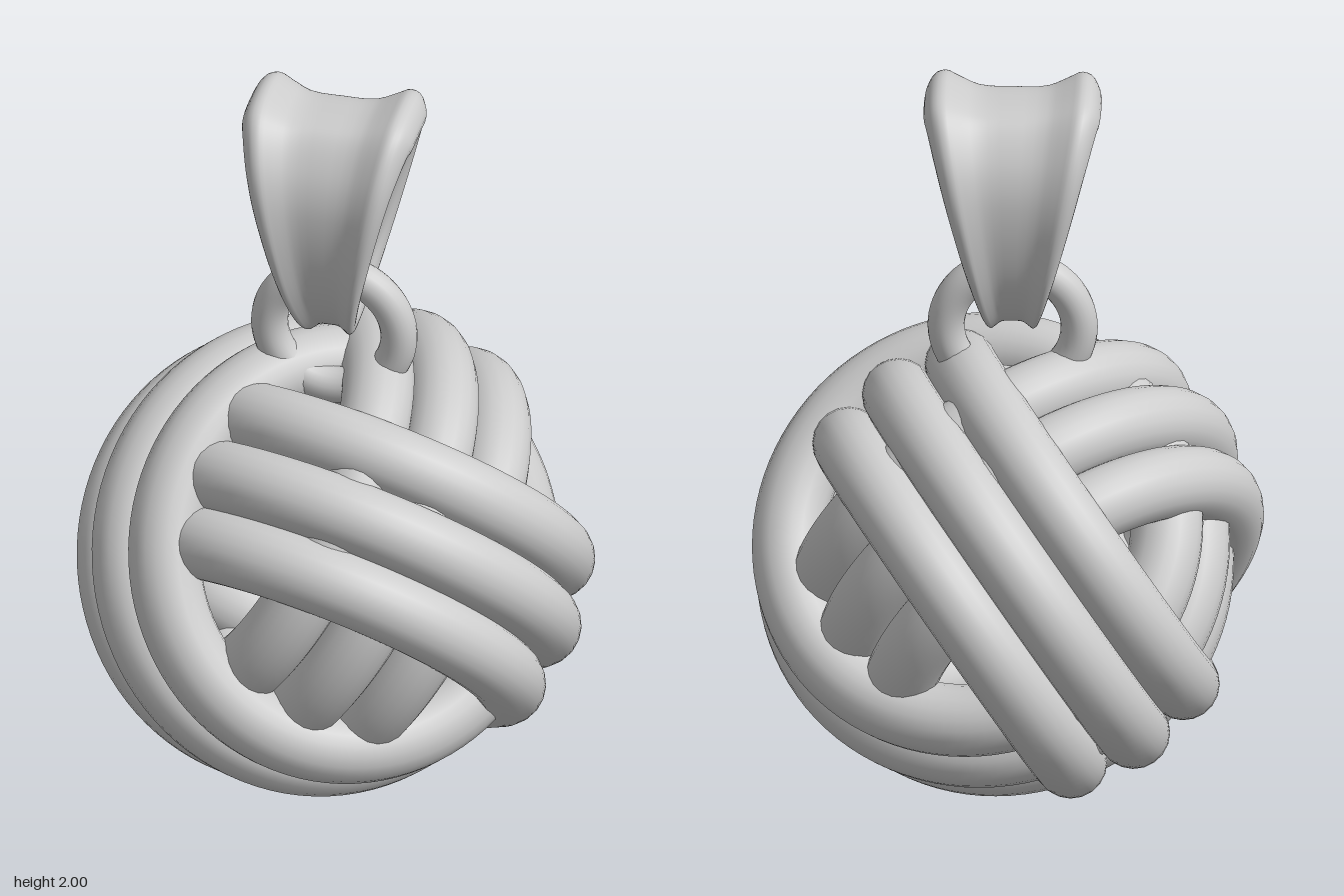
import * as THREE from 'three';

const silver = new THREE.MeshStandardMaterial({ color: 0xcccccc });
silver.name = 'silver';

// Knot: three bundles of three rings, each bundle shifted so that it passes
// over one neighbour and under the other.
function makeKnot() {
  const knot = new THREE.Group();
  knot.name = 'knotBall';
  knot.position.set(-0.008, 0.621, 0.018);

  // three perpendicular axes, tilted against the world
  const q = new THREE.Vector3(0.2, 0.69, -0.69).normalize();
  const p = new THREE.Vector3(0.55, 0.51, 0.66);
  p.addScaledVector(q, -p.dot(q)).normalize();
  const r = new THREE.Vector3().crossVectors(q, p);
  if (r.x > 0) r.negate();

  const shift = 0.036, spacing = 0.177, tube = 0.094;
  const zAxis = new THREE.Vector3(0, 0, 1);
  // [normal of the rings, direction passing over, direction passing under]
  const bundles = [[q, p, r], [p, r, q], [r, q, p]];
  bundles.forEach(([normal, over, under], b) => {
    const bundle = new THREE.Group();
    bundle.name = 'strandBundle' + (b + 1);
    for (const k of [-1, 0, 1]) {
      const radius = k === 0 ? 0.532 : 0.502;
      const strand = new THREE.Mesh(new THREE.TorusGeometry(radius, tube, 20, 96), silver);
      strand.name = 'strand' + (k + 2);
      strand.quaternion.setFromUnitVectors(zAxis, normal);
      strand.position.copy(normal).multiplyScalar(k * spacing)
        .addScaledVector(over, shift).addScaledVector(under, -shift);
      bundle.add(strand);
    }
    knot.add(bundle);
  });
  return knot;
}

// Bail: a flared, saddle-shaped band swept round an egg-shaped loop.
function makeBail() {
  const half = [[0, 2.0], [0.12, 1.977], [0.2, 1.87], [0.226, 1.7], [0.182, 1.48], [0.09, 1.34], [0, 1.3]];
  const loop = [...half, ...half.slice(1, -1).reverse().map(([z, y]) => [-z, y])];
  const path = new THREE.CatmullRomCurve3(loop.map(([z, y]) => new THREE.Vector3(0, y, z)), true);

  // cross-section: x as a share of the half width, depth below the rim
  const side = [[0.4, -0.029], [0.65, -0.01], [0.79, 0], [0.93, -0.014], [1, -0.05],
    [0.93, -0.086], [0.75, -0.099], [0.4, -0.1]];
  const outline = [[0, -0.032], ...side, [0, -0.1], ...side.slice().reverse().map(([x, v]) => [-x, v])];
  const section = new THREE.CatmullRomCurve3(outline.map(([x, v]) => new THREE.Vector3(x, v, 0)), true)
    .getPoints(54).slice(0, -1);

  const steps = 96, n = section.length, positions = [], index = [];
  for (let i = 0; i < steps; i++) {
    const c = path.getPoint(i / steps), t = path.getTangent(i / steps);
    const width = 0.065 + 0.235 * (c.y - 1.3);
    // thick at the top, thin at the bottom
    const thick = 0.6 + 0.4 * (c.y - 1.3) + 0.38 * THREE.MathUtils.smoothstep(c.y, 1.75, 1.98);
    for (const s of section) {
      const v = s.y * thick;
      positions.push(s.x * width, c.y + t.z * v, c.z - t.y * v);
    }
    const next = (i + 1) % steps;
    for (let j = 0; j < n; j++) {
      const k = (j + 1) % n;
      const a = i * n + j, b = next * n + j, d = i * n + k, e = next * n + k;
      index.push(a, b, d, b, e, d);
    }
  }
  const geometry = new THREE.BufferGeometry();
  geometry.setAttribute('position', new THREE.Float32BufferAttribute(positions, 3));
  geometry.setIndex(index);
  geometry.computeVertexNormals();
  const bail = new THREE.Mesh(geometry, silver);
  bail.name = 'bail';
  bail.position.set(-0.01, 0, 0.026);
  return bail;
}

export function createModel() {
  const model = new THREE.Group();
  model.name = 'knotPendant';
  model.add(makeKnot(), makeBail());

  // Ring joining the bail to the knot
  const ring = new THREE.Mesh(new THREE.TorusGeometry(0.172, 0.048, 20, 72), silver);
  ring.name = 'jumpRing';
  ring.position.set(-0.01, 1.295, 0.026);
  model.add(ring);
  return model;
}
